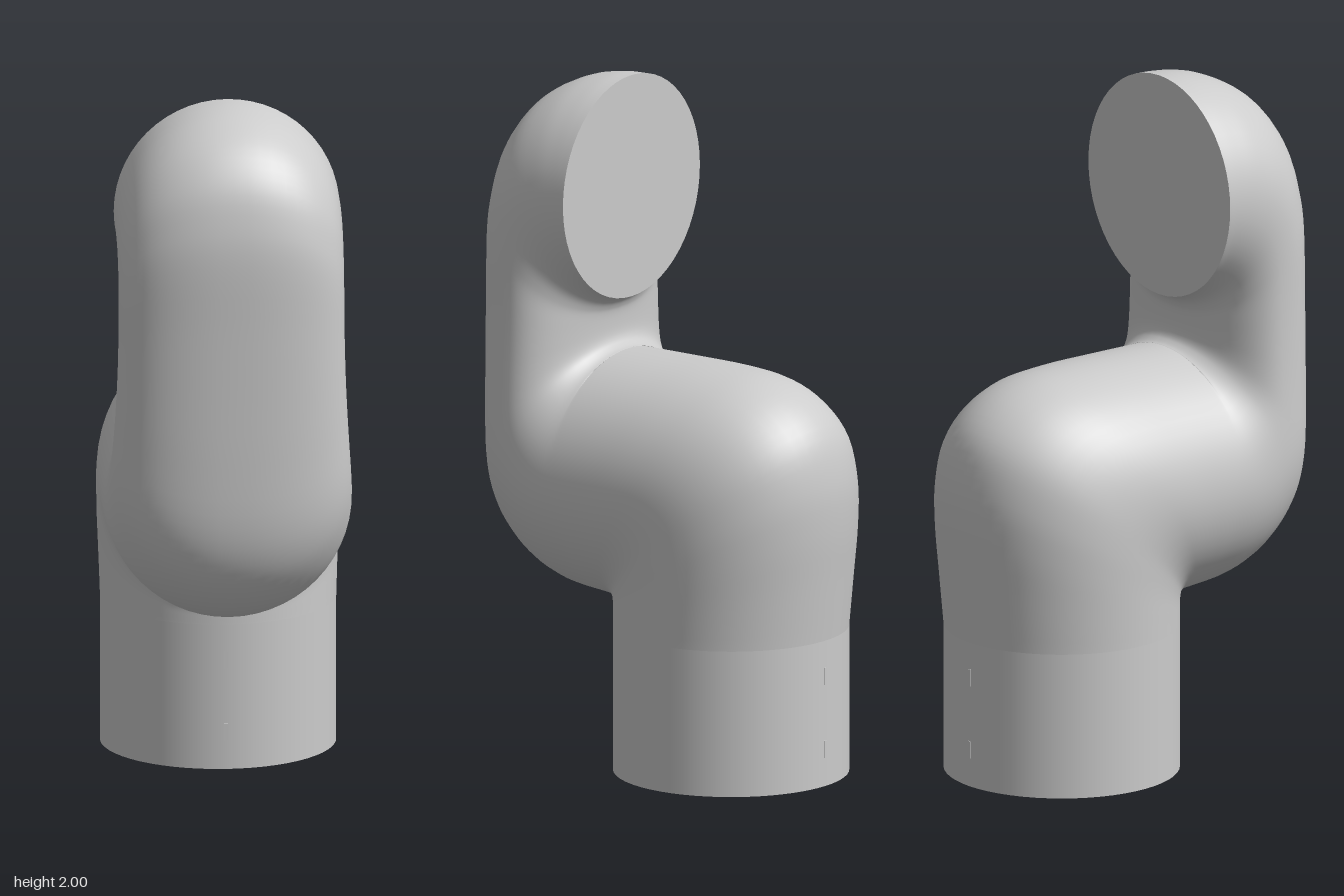
import * as THREE from 'three';

const material = new THREE.MeshStandardMaterial({ color: 0xcccccc });

// Stations along the arm: [lowZ, lowY, highZ, highY, halfWidth, roundness]
// "low" runs along the front/underside, "high" along the back/upper side.
const stations = [
  // lower elbow: fans around the inner corner
  [0.16, 0.43, -0.52, 0.43, 0.34, 2],
  [0.16, 0.445, -0.537, 0.6, 0.343, 2],
  [0.16, 0.455, -0.552, 0.76, 0.346, 2],
  [0.16, 0.461, -0.55, 0.9, 0.349, 2],
  [0.16, 0.465, -0.515, 1.03, 0.351, 2],
  [0.161, 0.468, -0.43, 1.12, 0.353, 2],
  [0.162, 0.47, -0.31, 1.172, 0.355, 2],
  [0.164, 0.472, -0.16, 1.188, 0.357, 2],
  [0.168, 0.473, 0.02, 1.19, 0.357, 2],
  [0.18, 0.475, 0.18, 1.19, 0.357, 2],
  // front elbow: turns up around the small notch
  [0.3, 0.49, 0.19, 1.191, 0.356, 2],
  [0.4, 0.535, 0.2, 1.194, 0.353, 2.05],
  [0.48, 0.61, 0.21, 1.2, 0.349, 2.1],
  [0.53, 0.7, 0.218, 1.207, 0.345, 2.15],
  [0.555, 0.82, 0.224, 1.217, 0.34, 2.2],
  [0.56, 1.0, 0.228, 1.23, 0.334, 2.25],
  // flattened upright
  [0.56, 1.2, 0.23, 1.25, 0.329, 2.3],
  [0.56, 1.4, 0.23, 1.28, 0.326, 2.3],
  [0.56, 1.6, 0.228, 1.3, 0.325, 2.25],
  // upper elbow: turns back to the flat end
  [0.545, 1.72, 0.224, 1.312, 0.325, 2.2],
  [0.51, 1.83, 0.218, 1.323, 0.325, 2.15],
  [0.44, 1.92, 0.21, 1.332, 0.325, 2.1],
  [0.34, 1.975, 0.2, 1.339, 0.325, 2.05],
  [0.25, 1.996, 0.19, 1.343, 0.325, 2],
  [0.18, 2.0, 0.18, 1.345, 0.325, 2],
];

function curveThrough(pick) {
  return new THREE.CatmullRomCurve3(stations.map(pick), false, 'catmullrom', 0.5);
}

// Loft of superellipse rings, each spanning from the low curve to the high curve
function armGeometry(rings = 96, sides = 56) {
  const low = curveThrough(s => new THREE.Vector3(0, s[1], s[0]));
  const high = curveThrough(s => new THREE.Vector3(0, s[3], s[2]));
  const shape = curveThrough(s => new THREE.Vector3(s[4], s[5], 0));
  const positions = [], index = [];
  const power = (v, n) => Math.sign(v) * Math.abs(v) ** (2 / n);
  for (let i = 0; i <= rings; i++) {
    const t = i / rings;
    const a = low.getPoint(t), b = high.getPoint(t), { x: w, y: n } = shape.getPoint(t);
    const mid = a.clone().add(b).multiplyScalar(0.5);
    const half = a.clone().sub(mid);
    for (let j = 0; j < sides; j++) {
      const angle = (j / sides) * Math.PI * 2;
      const c = power(Math.cos(angle), n), s = power(Math.sin(angle), n);
      positions.push(w * s, mid.y + half.y * c, mid.z + half.z * c);
      if (i === rings) continue;
      const k = (j + 1) % sides;
      const p = i * sides + j, q = i * sides + k;
      index.push(p, q, q + sides, p, q + sides, p + sides);
    }
  }
  const geometry = new THREE.BufferGeometry();
  geometry.setAttribute('position', new THREE.Float32BufferAttribute(positions, 3));
  geometry.setIndex(index);
  geometry.computeVertexNormals();
  return geometry;
}

export function createModel() {
  const group = new THREE.Group();
  const add = (name, geometry, x, y, z) => {
    const mesh = new THREE.Mesh(geometry, material);
    mesh.name = name;
    mesh.position.set(x, y, z);
    group.add(mesh);
    return mesh;
  };

  // Round foot, closed underneath
  add('baseCylinder', new THREE.CylinderGeometry(0.34, 0.34, 0.43, 56), 0, 0.215, -0.18);

  // Bent arm and its flat end face
  add('bentArm', armGeometry(), 0, 0, 0);
  const face = add('endFace', new THREE.CircleGeometry(1, 56), 0, 1.6725, 0.18);
  face.rotation.y = Math.PI;
  face.scale.set(0.325, 0.3275, 1);

  // Tiny alignment marks on the front and back of the foot
  for (const side of [-1, 1]) {
    for (const y of [0.11, 0.325]) {
      add('alignmentMark', new THREE.BoxGeometry(0.012, 0.05, 0.006), 0, y, -0.18 + side * 0.339);
    }
  }
  return group;
}
